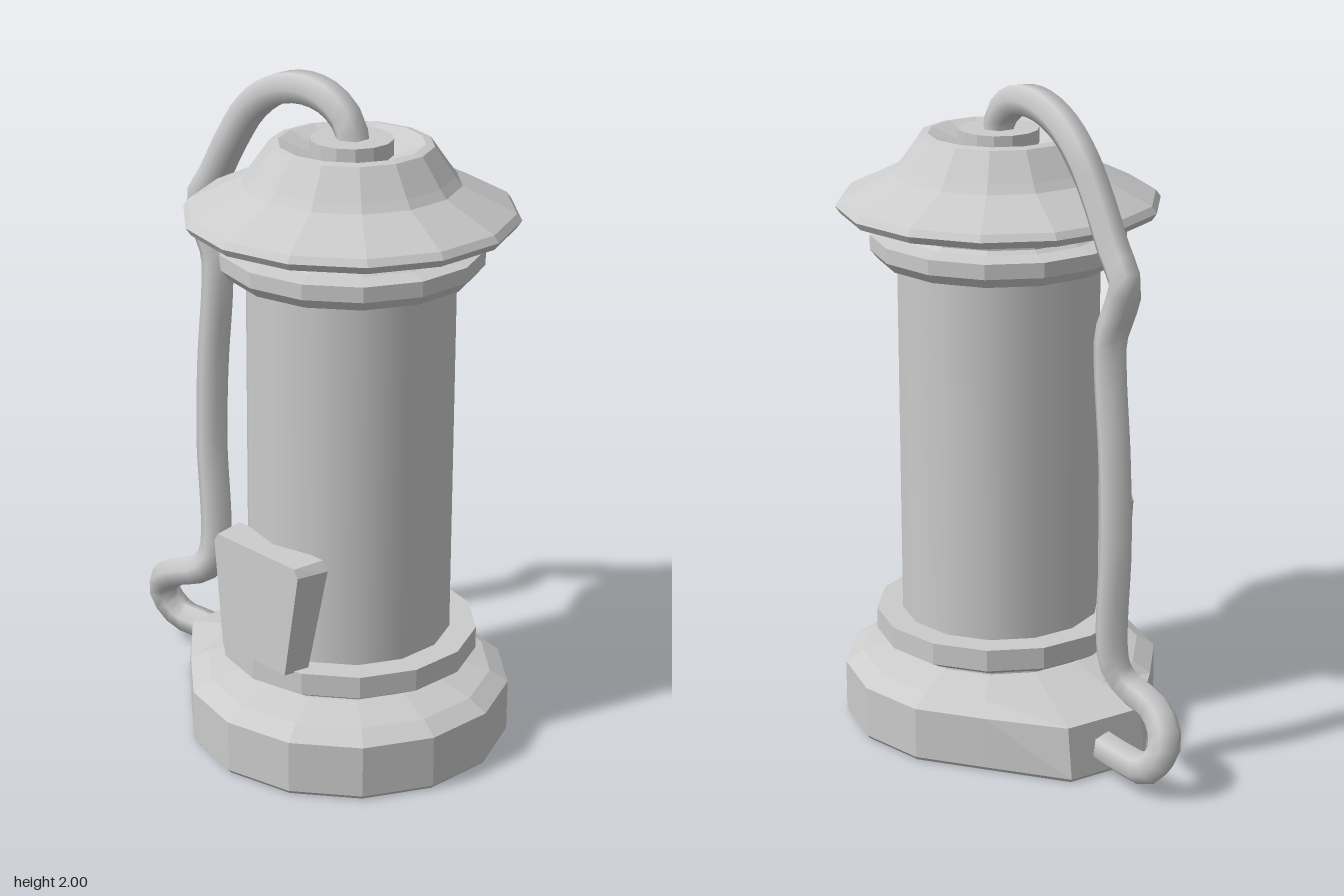
import * as THREE from 'three';
import { ConvexGeometry } from 'three/addons/geometries/ConvexGeometry.js';

const SIDES = 14;
const AXIS_X = 0.2; // the lamp body stands off-centre, the cable fills the other side

export function createModel() {
  const model = new THREE.Group();
  model.name = 'lantern';
  const flat = new THREE.MeshStandardMaterial({ color: 0xcccccc, flatShading: true });
  const smooth = new THREE.MeshStandardMaterial({ color: 0xcccccc });

  const add = (name, geometry, material, x = 0, y = 0) => {
    const mesh = new THREE.Mesh(geometry, material);
    mesh.name = name;
    mesh.position.set(x, y, 0);
    model.add(mesh);
    return mesh;
  };
  // turned part from [radius, height] pairs, bottom to top
  const turned = (name, profile) => {
    const points = profile.map(([r, y]) => new THREE.Vector2(r, y));
    return add(name, new THREE.LatheGeometry(points, SIDES), flat, AXIS_X);
  };

  // base slab, its outer edge drawn out to a spout where the cable enters
  const base = turned('base', [
    [0, 0], [0.475, 0], [0.485, 0.012], [0.485, 0.17],
    [0.43, 0.205], [0.32, 0.235], [0, 0.235],
  ]);
  const pos = base.geometry.attributes.position;
  for (let i = 0; i < pos.count; i++) {
    if (pos.getX(i) < -0.45) {
      pos.setX(i, pos.getX(i) - (pos.getY(i) < 0.1 ? 0.12 : 0.1));
      pos.setZ(i, pos.getZ(i) * 1.2);
    }
  }

  // lower collar, glass body and upper collar
  turned('lowerCollar', [
    [0.31, 0.22], [0.31, 0.25], [0.345, 0.255], [0.385, 0.278], [0.385, 0.345], [0.29, 0.345],
  ]);
  add('body', new THREE.CylinderGeometry(0.305, 0.305, 1.14, SIDES, 1, true), smooth, AXIS_X, 0.9);
  turned('upperCollar', [
    [0.29, 1.455], [0.36, 1.46], [0.385, 1.49], [0.385, 1.535],
    [0.325, 1.545], [0.31, 1.555], [0.31, 1.59],
  ]);

  // cap with a wide brim and a dished top
  turned('cap', [
    [0.29, 1.57], [0.34, 1.575], [0.47, 1.603], [0.485, 1.625], [0.47, 1.645],
    [0.315, 1.72], [0.295, 1.745], [0.235, 1.83], [0.21, 1.835], [0.12, 1.8], [0, 1.8],
  ]);
  add('cableSocket', new THREE.CylinderGeometry(0.12, 0.12, 0.055, SIDES), flat, AXIS_X, 1.819);

  // tapered switch plate on the front
  const corners = [];
  for (const s of [-1, 1]) {
    const corner = (x, y, z) => corners.push(new THREE.Vector3(s * x, y, z));
    corner(0.135, 0.34, 0.383);
    corner(0.18, 0.66, 0.373);
    corner(0.165, 0.685, 0.373);
    corner(0.15, 0.34, 0.305);
    corner(0.2, 0.66, 0.275);
    corner(0.18, 0.688, 0.275);
  }
  add('switchPlate', new ConvexGeometry(corners), flat, AXIS_X);

  // cable from the cap, down the side and looping into the base
  const path = new THREE.CatmullRomCurve3([
    [0.205, 1.82, 0], [0.19, 1.88, 0], [0.13, 1.935, 0.005], [0.02, 1.955, 0.005],
    [-0.11, 1.925, 0.005], [-0.22, 1.85, 0.005], [-0.3, 1.74, 0.01], [-0.38, 1.61, 0.01],
    [-0.44, 1.52, 0.01], [-0.42, 1.45, 0.01], [-0.388, 1.36, 0], [-0.385, 1.26, 0],
    [-0.41, 1.0, 0], [-0.42, 0.75, 0], [-0.405, 0.36, 0.01], [-0.44, 0.3, 0.03],
    [-0.55, 0.255, 0.055], [-0.615, 0.2, 0.045], [-0.62, 0.14, 0.03], [-0.57, 0.085, 0.01],
    [-0.48, 0.08, 0], [-0.33, 0.08, 0],
  ].map((p) => new THREE.Vector3(...p)));
  add('cable', new THREE.TubeGeometry(path, 64, 0.05, 6), smooth);

  return model;
}
